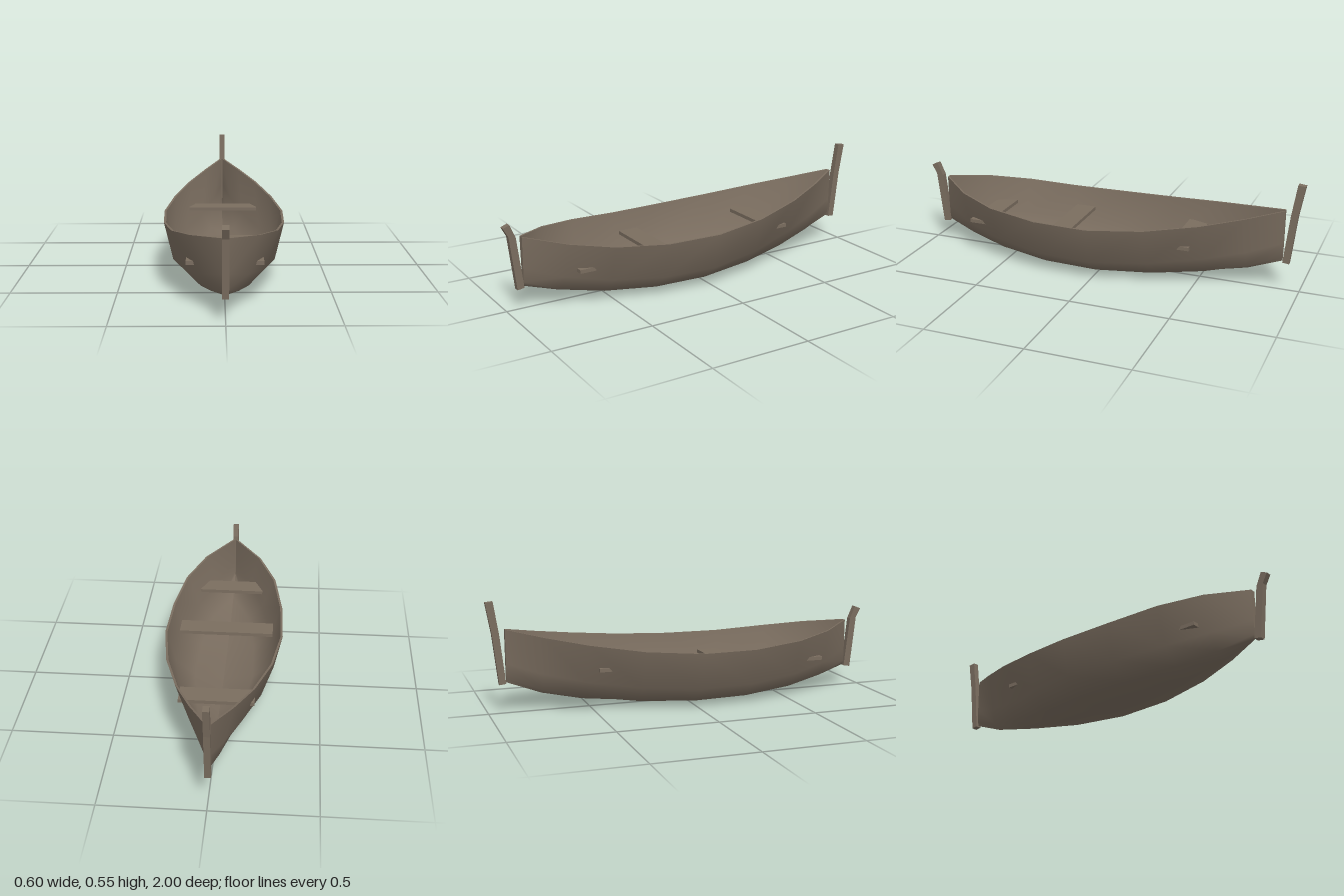
import * as THREE from 'three';
import { mergeGeometries } from 'three/addons/utils/BufferGeometryUtils.js';

const THICK = 0.011;

// Hull stations: z, keel height, gunwale height, gunwale half-width,
// chine and bilge widths as fractions of the gunwale half-width
const STATIONS = [
  [-0.91, 0.155, 0.415, 0.014, 0.5, 0.8],
  [-0.74, 0.09, 0.38, 0.1, 0.36, 0.62],
  [-0.54, 0.045, 0.345, 0.185, 0.4, 0.67],
  [-0.28, 0.015, 0.31, 0.26, 0.48, 0.79],
  [0, 0.003, 0.29, 0.3, 0.54, 0.867],
  [0.28, 0.006, 0.29, 0.29, 0.53, 0.85],
  [0.54, 0.025, 0.31, 0.245, 0.45, 0.76],
  [0.74, 0.06, 0.335, 0.155, 0.4, 0.7],
  [0.91, 0.115, 0.36, 0.014, 0.5, 0.8],
];

// One half cross-section from keel to gunwale, inset by the plank thickness
function section([z, keel, top, half, chine, bilge], inset) {
  const h = top - keel;
  return [[0, 0], [chine, 0.08], [bilge, 0.36], [1, 1]].map(([w, f], i) => [
    i === 0 ? 0 : Math.max(w * half - inset, 0.003),
    keel + f * h + (i === 3 ? 0 : inset),
    z,
  ]);
}

// Smooth surface through rows of points; flip reverses the facing
function skin(rows, side, flip) {
  const n = rows[0].length;
  const index = [];
  for (let i = 0; i < rows.length - 1; i++) {
    for (let j = 0; j < n - 1; j++) {
      const a = i * n + j, b = a + 1, c = a + n, d = c + 1;
      if (flip) index.push(a, c, b, b, c, d);
      else index.push(a, b, c, b, d, c);
    }
  }
  const geo = new THREE.BufferGeometry();
  const points = rows.flat().flatMap(([x, y, z]) => [x * side, y, z]);
  geo.setAttribute('position', new THREE.Float32BufferAttribute(points, 3));
  geo.setIndex(index);
  geo.computeVertexNormals();
  return geo;
}

function hullGeometry() {
  const outer = STATIONS.map((s) => section(s, 0));
  const inner = STATIONS.map((s) => section(s, THICK));
  const rim = outer.map((row, i) => [row[3], inner[i][3]]);
  const parts = [];
  for (const side of [1, -1]) {
    parts.push(skin(outer, side, side < 0));
    parts.push(skin(inner, side, side > 0));
    parts.push(skin(rim, side, side < 0));
    // Narrow flat ends
    for (const end of [0, outer.length - 1]) {
      const edge = outer[end];
      const centre = edge.map(([, y, z]) => [0, y, z]);
      parts.push(skin([centre, edge], side, (end === 0) === (side < 0)));
    }
  }
  return mergeGeometries(parts);
}

// Bent post drawn in (z, y) and extruded across the boat
function postGeometry(profile, width) {
  const shape = new THREE.Shape(profile.map(([z, y]) => new THREE.Vector2(-z, y)));
  const geo = new THREE.ExtrudeGeometry(shape, { depth: width, bevelEnabled: false });
  geo.translate(0, 0, -width / 2);
  geo.rotateY(Math.PI / 2);
  return geo;
}

export function createModel() {
  const wood = new THREE.MeshStandardMaterial({ color: 0x7a6d5f });
  wood.name = 'weathered wood';
  const hullWood = new THREE.MeshStandardMaterial({ color: 0x7a6d5f, side: THREE.DoubleSide });
  hullWood.name = 'hull wood';

  const boat = new THREE.Group();
  boat.name = 'rowingBoat';
  const add = (name, geo, material = wood) => {
    const mesh = new THREE.Mesh(geo, material);
    mesh.name = name;
    boat.add(mesh);
    return mesh;
  };

  add('hull', hullGeometry(), hullWood);

  // Stem and stern posts
  add('bowPost', postGeometry([
    [0.91, 0.11], [0.945, 0.104], [0.975, 0.37], [1, 0.417], [0.968, 0.43], [0.94, 0.365],
  ], 0.03));
  add('sternPost', postGeometry([
    [-0.912, 0.15], [-0.945, 0.146], [-0.973, 0.395], [-1, 0.548], [-0.963, 0.552], [-0.938, 0.39],
  ], 0.03));

  // Benches: name, width, height, z
  for (const [name, width, y, z] of [
    ['sternBench', 0.364, 0.219, -0.437],
    ['middleBench', 0.49, 0.19, 0.215],
    ['bowBench', 0.35, 0.197, 0.643],
  ]) {
    add(name, new THREE.BoxGeometry(width, 0.018, 0.105)).position.set(0, y, z);
  }

  return boat;
}
